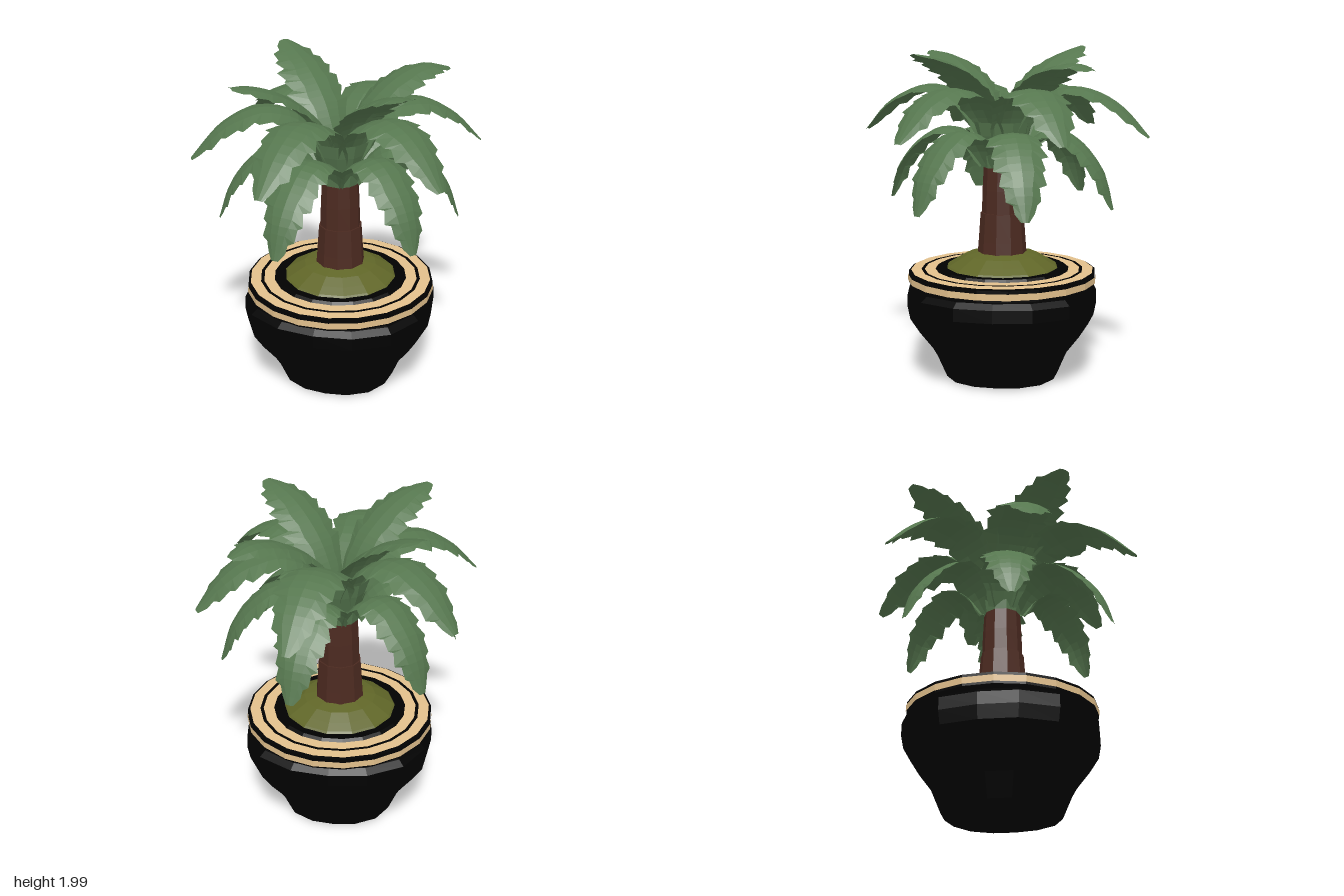
import * as THREE from 'three';

const mat = (name, color, extra = {}) =>
  Object.assign(new THREE.MeshStandardMaterial({ color, flatShading: true, ...extra }), { name });

// Per tier: frond midline as [reach, height], half widths along the length,
// and fronds as [angle from +x towards +z, reach scale, tip lift]
const TIERS = [
  {
    name: 'topFronds',
    path: [[0.03, 1.45], [0.1, 1.61], [0.18, 1.73], [0.3, 1.835], [0.42, 1.905], [0.56, 1.95], [0.68, 1.965]],
    widths: [0.08, 0.11, 0.14, 0.16, 0.17, 0.17, 0.162, 0.14, 0.1, 0.035],
    fronds: [[-1, 1.1, -0.085], [87, 0.97], [179, 1.01], [268, 0.98, 0.03]]
  },
  {
    name: 'middleFronds',
    path: [[0.05, 1.38], [0.13, 1.57], [0.23, 1.705], [0.38, 1.77], [0.52, 1.76], [0.69, 1.67], [0.86, 1.49]],
    widths: [0.085, 0.115, 0.145, 0.165, 0.172, 0.172, 0.16, 0.132, 0.092, 0.03],
    fronds: [[17], [80.5], [148, 1.03], [199, 1.01], [262], [327, 1.03]]
  },
  {
    name: 'lowerFronds',
    path: [[0.09, 1.3], [0.16, 1.43], [0.26, 1.51], [0.38, 1.515], [0.51, 1.43], [0.625, 1.28], [0.695, 1.07]],
    widths: [0.085, 0.12, 0.145, 0.152, 0.152, 0.148, 0.138, 0.115, 0.082, 0.025],
    fronds: [[29, 1.02], [83], [149, 1.05], [207, 1.04], [266], [332]]
  }
];

function widthAt(widths, u) {
  const f = u * (widths.length - 1);
  const i = Math.min(Math.floor(f), widths.length - 2);
  return THREE.MathUtils.lerp(widths[i], widths[i + 1], f - i);
}

// A curved, gently arched leaf with ragged edges, growing along +x
function frondGeometry(path, widths, lift, seed) {
  const points = path.map(([r, y], i) => new THREE.Vector3(r, y + lift * (i / 6) ** 5, 0));
  const curve = new THREE.CatmullRomCurve3(points);
  const rows = 20, across = [-1, -0.5, 0, 0.5, 1];
  const positions = [], indices = [];
  for (let i = 0; i <= rows; i++) {
    const u = i / rows;
    const centre = curve.getPointAt(u);
    const t = curve.getTangentAt(u);
    for (const v of across) {
      const notched = Math.abs(v) === 1 && u > 0.25;
      const wobble = 1 + 0.07 * Math.sin(seed * 2.3 + i * 1.7 + v * 2);
      const tooth = notched ? (i % 2 ? 1.08 : 0.9) : 1;
      const w = widthAt(widths, u) * wobble * tooth;
      const droop = 0.24 * w * v * v;
      const sweep = notched && i % 2 && i < rows - 1 ? 0.028 : 0;
      positions.push(
        centre.x + t.y * droop + t.x * sweep,
        centre.y - t.x * droop + t.y * sweep,
        w * v
      );
    }
  }
  const n = across.length;
  for (let i = 0; i < rows; i++) {
    for (let j = 0; j < n - 1; j++) {
      const a = i * n + j, b = a + 1, c = a + n, d = c + 1;
      indices.push(a, b, c, b, d, c);
    }
  }
  const g = new THREE.BufferGeometry();
  g.setAttribute('position', new THREE.Float32BufferAttribute(positions, 3));
  g.setIndex(indices);
  g.computeVertexNormals();
  return g;
}

export function createModel() {
  const model = new THREE.Group();
  model.name = 'pottedPalm';
  const black = mat('glazeBlack', 0x010101);
  const tan = mat('rimTan', 0xe2c08c);
  const moss = mat('mossGreen', 0x606628);
  const bark = mat('barkBrown', 0x4c2a20);
  const leaf = mat('leafGreen', 0x56774f, { side: THREE.DoubleSide });

  const lathe = (name, material, profile, sides = 20) => {
    const g = new THREE.LatheGeometry(profile.map(([r, y]) => new THREE.Vector2(r, y)), sides);
    const mesh = new THREE.Mesh(g, material);
    mesh.name = name;
    model.add(mesh);
    return mesh;
  };

  // Pot body, slightly flattened on its diagonals
  const body = lathe('potBody', black, [
    [0, 0.01], [0.3, 0.005], [0.36, 0.015], [0.42, 0.15], [0.45, 0.2], [0.53, 0.3], [0.59, 0.39],
    [0.606, 0.47], [0.604, 0.545], [0.565, 0.575], [0.52, 0.59]
  ], 16);
  const p = body.geometry.attributes.position;
  for (let i = 0; i < p.count; i++) {
    const s = 1 - 0.055 * Math.sin(2 * Math.atan2(p.getZ(i), p.getX(i))) ** 2;
    p.setXYZ(i, p.getX(i) * s, p.getY(i), p.getZ(i) * s);
  }

  // Rim with its tan stripe and rings
  lathe('rim', black, [
    [0.47, 0.585], [0.567, 0.59], [0.567, 0.658], [0.555, 0.66], [0.4, 0.663], [0.385, 0.68], [0.32, 0.68]
  ]);
  lathe('rimSideStripe', tan, [[0.572, 0.602], [0.572, 0.64]]);
  lathe('rimOuterRing', tan, [[0.553, 0.665], [0.49, 0.667]]);
  lathe('rimInnerRing', tan, [[0.47, 0.667], [0.405, 0.668]]);

  // Moss mound
  lathe('mossMound', moss, [[0.35, 0.67], [0.33, 0.69], [0.28, 0.72], [0.22, 0.755], [0.14, 0.772], [0, 0.78]], 14);

  // Trunk in two stacked segments, then the green crown
  lathe('lowerTrunk', bark, [[0.15, 0.74], [0.142, 0.84], [0.13, 1.012], [0, 1.012]], 10);
  lathe('upperTrunk', bark, [[0.122, 1.012], [0.118, 1.15], [0.11, 1.3], [0.03, 1.42], [0, 1.42]], 10);
  lathe('crown', leaf, [[0.11, 1.28], [0.125, 1.38], [0.16, 1.48], [0.18, 1.56]], 10);

  // Three tiers of fronds
  for (const { name, path, widths, fronds } of TIERS) {
    const group = new THREE.Group();
    group.name = name;
    fronds.forEach(([degrees, reach = 1, lift = 0], i) => {
      const mesh = new THREE.Mesh(frondGeometry(path, widths, lift, i + degrees), leaf);
      mesh.name = 'frond';
      mesh.rotation.y = -THREE.MathUtils.degToRad(degrees);
      mesh.scale.x = reach;
      group.add(mesh);
    });
    model.add(group);
  }

  return model;
}
